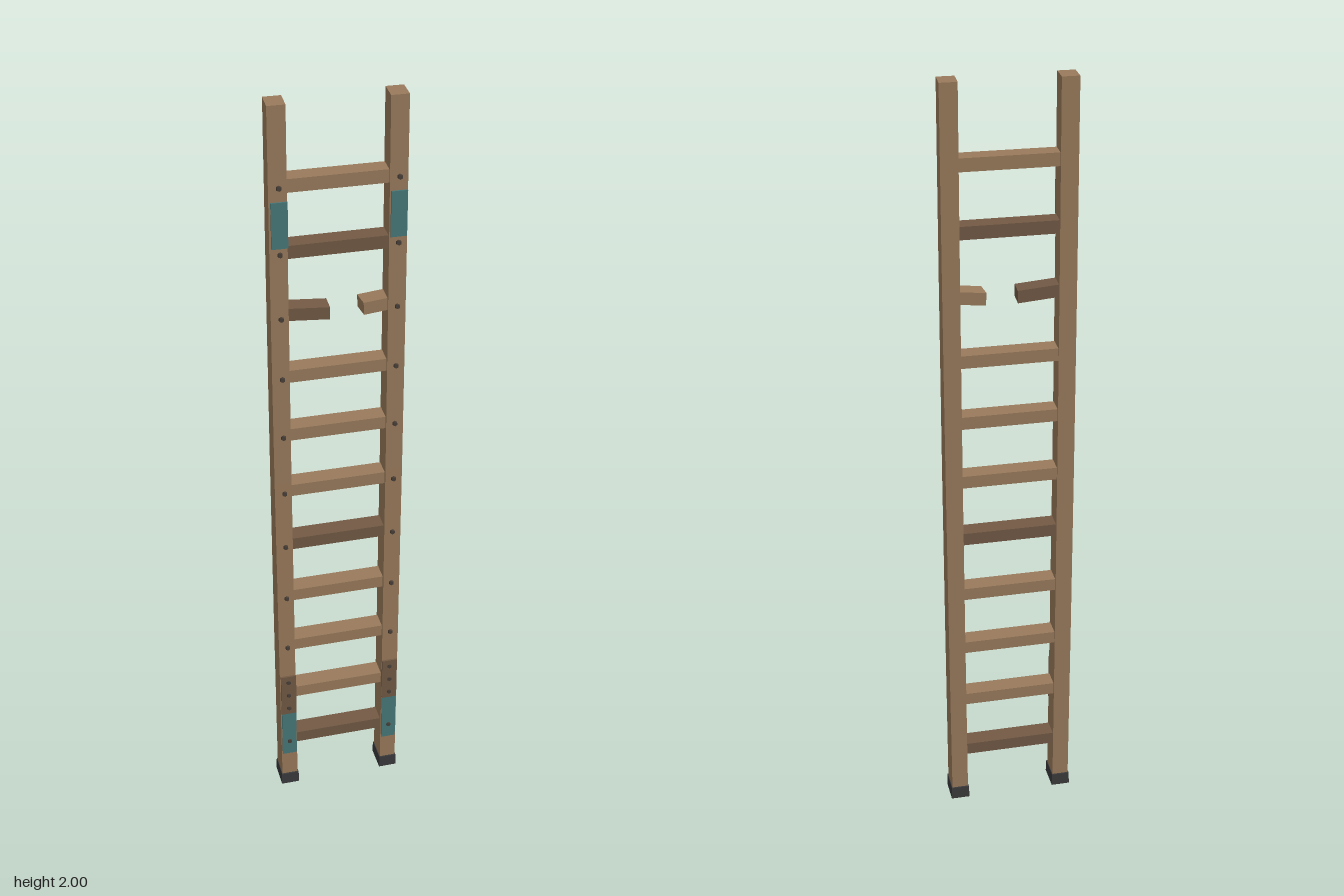
import * as THREE from 'three';

const mat = (name, color) => {
  const m = new THREE.MeshStandardMaterial({ color });
  m.name = name;
  return m;
};

export function createModel() {
  const wood = mat('wood', 0x9a7b5c);
  const darkWood = mat('darkWood', 0x735a45);
  const teal = mat('tealPaint', 0x47797a);
  const rubber = mat('rubber', 0x3a3a3c);
  const iron = mat('iron', 0x4a4038);

  const model = new THREE.Group();
  model.name = 'ladder';
  const add = (name, geometry, material, x, y, z) => {
    const mesh = new THREE.Mesh(geometry, material);
    mesh.name = name;
    mesh.position.set(x, y, z);
    model.add(mesh);
    return mesh;
  };
  const box = (name, w, h, d, material, x, y, z) =>
    add(name, new THREE.BoxGeometry(w, h, d), material, x, y, z);

  // Rail: a square post with a slight bow and a small twist towards the top
  const railGeometry = (side) => {
    const g = new THREE.BoxGeometry(0.044, 1.98, 0.062, 1, 4, 1);
    const p = g.attributes.position;
    for (let i = 0; i < p.count; i++) {
      const t = p.getY(i) / 1.98 + 0.5;
      const bow = 0.002 * Math.sin(t * Math.PI) * side;
      p.setX(i, p.getX(i) + bow - p.getZ(i) * 0.07 * t);
    }
    g.computeVertexNormals();
    return g;
  };

  // Foot: rubber block, a little narrower at its top
  const footGeometry = new THREE.BoxGeometry(0.05, 0.034, 0.072);
  const fp = footGeometry.attributes.position;
  for (let i = 0; i < fp.count; i++) {
    if (fp.getY(i) > 0) fp.setXYZ(i, fp.getX(i) * 0.96, fp.getY(i), fp.getZ(i) * 0.97);
  }
  footGeometry.computeVertexNormals();

  const nailGeometry = new THREE.CylinderGeometry(0.006, 0.007, 0.006, 6).rotateX(Math.PI / 2);
  const rungHeights = [0.155, 0.32, 0.485, 0.65, 0.815, 0.98, 1.145, 1.31, 1.473, 1.64, 1.805];
  const darkRungs = [0, 4, 9];
  const brokenRung = 8;

  for (const side of [-1, 1]) {
    const label = side > 0 ? 'left' : 'right';
    const x = side * 0.1435;
    add(label + 'Rail', railGeometry(side), wood, x, 1.01, -0.002);
    add(label + 'Foot', footGeometry, rubber, x, 0.017, -0.002);

    // Painted bands and a nailed repair plate on the rail's front
    box(label + 'UpperPaint', 0.04, 0.115, 0.005, teal, x, 1.713, 0.0305);
    box(label + 'LowerPaint', 0.04, 0.145, 0.005, teal, x, 0.183, 0.0305);
    box(label + 'RepairPlate', 0.042, 0.13, 0.006, darkWood, x, 0.32, 0.031);
    for (const y of [0.275, 0.365]) add(label + 'PlateNail', nailGeometry, iron, x, y, 0.034);

    // One nail in front of each rung end
    for (const y of rungHeights) add(label + 'RungNail', nailGeometry, iron, x, y, 0.034);
  }

  // Whole rungs
  rungHeights.forEach((y, i) => {
    if (i === brokenRung) return;
    box('rung', 0.256, 0.033, 0.05, darkRungs.includes(i) ? darkWood : wood, 0, y, -0.003);
  });

  // Broken rung: two tilted stubs with slanted ends
  const stub = (name, side, length, material, tilt) => {
    const g = new THREE.BoxGeometry(length, 0.032, 0.05);
    const p = g.attributes.position;
    for (let i = 0; i < p.count; i++) {
      if (p.getX(i) * side < 0) p.setX(i, p.getX(i) + side * 0.06 * (p.getZ(i) + p.getY(i)));
    }
    g.computeVertexNormals();
    const mesh = add(name, g, material, side * (0.127 - length / 2), 1.474, -0.003);
    mesh.rotation.z = tilt;
  };
  stub('brokenRungRight', -1, 0.107, darkWood, -0.08);
  stub('brokenRungLeft', 1, 0.066, wood, 0.1);

  return model;
}
